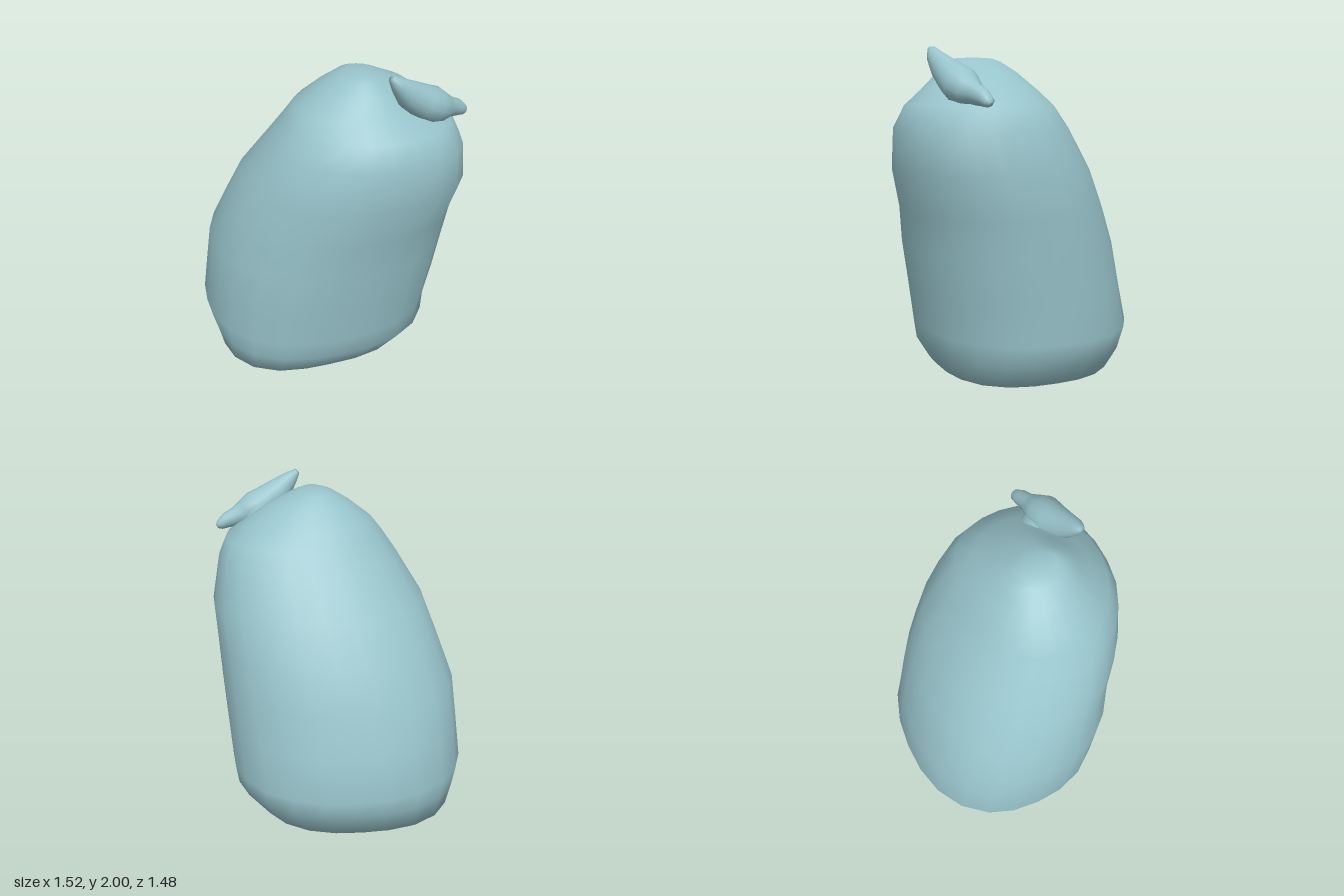
import * as THREE from 'three';

const SIDES = 24;
const material = new THREE.MeshStandardMaterial({ color: 0x98c4cb });

// Skin a stack of rings (equal point counts) and close both ends with a fan.
function loft(rings, name) {
  const n = rings[0].length;
  const pos = [], index = [];
  rings.forEach(r => r.forEach(p => pos.push(p.x, p.y, p.z)));
  for (let r = 0; r < rings.length - 1; r++) {
    for (let j = 0; j < n; j++) {
      const a = r * n + j, b = r * n + (j + 1) % n;
      index.push(a, a + n, b, b, a + n, b + n);
    }
  }
  [0, rings.length - 1].forEach((r, end) => {
    const c = new THREE.Vector3();
    rings[r].forEach(p => c.addScaledVector(p, 1 / n));
    const ci = pos.length / 3;
    pos.push(c.x, c.y + (end ? 0.006 : -0.006), c.z);
    for (let j = 0; j < n; j++) {
      const a = r * n + j, b = r * n + (j + 1) % n;
      index.push(ci, end ? b : a, end ? a : b);
    }
  });
  const g = new THREE.BufferGeometry();
  g.setAttribute('position', new THREE.Float32BufferAttribute(pos, 3));
  g.setIndex(index);
  g.computeVertexNormals();
  const mesh = new THREE.Mesh(g, material);
  mesh.name = name;
  return mesh;
}

// Rounded-square ring between the given x and z limits; each corner
// (+x+z, -x+z, -x-z, +x-z) can be pushed out or cut back.
function bagRing([y, x0, x1, z0, z1, power, ...corners]) {
  const ring = [];
  for (let j = 0; j < SIDES; j++) {
    const a = j / SIDES * Math.PI * 2, c = Math.cos(a), s = Math.sin(a);
    const corner = corners[Math.floor(j * 4 / SIDES)] * Math.sin(2 * a) ** 2;
    const k = (Math.abs(c) ** power + Math.abs(s) ** power) ** (-1 / power) * (1 + corner);
    ring.push(new THREE.Vector3(
      (x0 + x1) / 2 + c * k * (x1 - x0) / 2, y,
      (z0 + z1) / 2 + s * k * (z1 - z0) / 2));
  }
  return ring;
}

// Elliptical rings following a path; each entry is x, y, z, depth radius, height radius.
function tieRings(stations) {
  const points = stations.map(s => new THREE.Vector3(s[0], s[1], s[2]));
  return stations.map((s, i) => {
    const t = points[Math.min(i + 1, points.length - 1)].clone()
      .sub(points[Math.max(i - 1, 0)]).normalize();
    const depth = new THREE.Vector3(0, 0, 1).addScaledVector(t, -t.z).normalize();
    const height = depth.clone().cross(t);
    return Array.from({ length: 14 }, (_, j) => {
      const a = j / 14 * Math.PI * 2;
      return points[i].clone()
        .addScaledVector(depth, Math.cos(a) * s[3])
        .addScaledVector(height, Math.sin(a) * s[4]);
    });
  });
}

export function createModel() {
  const model = new THREE.Group();
  model.name = 'tiedSack';

  // Leaning sack: y, x limits, z limits, squareness, four corner offsets
  const sections = [
    [0.008, -0.42, 0.30, -0.40, 0.22, 2.2, 0.03, 0.04, 0.03, 0],
    [0.05, -0.69, 0.53, -0.64, 0.44, 2.3, 0.04, 0.06, 0.04, 0.01],
    [0.20, -0.73, 0.67, -0.69, 0.54, 2.3, 0.01, 0.02, 0.03, -0.01],
    [0.33, -0.76, 0.685, -0.738, 0.56, 2.3, 0, 0, 0, -0.01],
    [0.58, -0.735, 0.705, -0.675, 0.60, 2.4, 0, -0.03, 0, -0.03],
    [0.84, -0.71, 0.725, -0.61, 0.645, 2.4, 0, -0.05, 0, -0.03],
    [1.06, -0.63, 0.74, -0.52, 0.675, 2.4, 0, -0.07, -0.01, -0.03],
    [1.30, -0.54, 0.76, -0.40, 0.735, 2.4, 0.02, -0.08, -0.01, -0.02],
    [1.54, -0.39, 0.715, -0.235, 0.74, 2.3, 0.02, -0.06, 0, 0.03],
    [1.67, -0.30, 0.66, -0.14, 0.68, 2.1, -0.02, -0.03, 0.03, 0.07],
    [1.76, -0.23, 0.54, -0.07, 0.575, 2, -0.09, 0, 0.05, 0.06],
    [1.86, -0.10, 0.40, 0.03, 0.48, 2, -0.12, 0, 0.05, 0.03],
    [1.92, 0.00, 0.26, 0.10, 0.42, 2, -0.05, 0, 0.03, 0],
    [1.939, 0.06, 0.20, 0.15, 0.37, 2, 0, 0, 0, 0],
  ];
  model.add(loft(sections.map(bagRing), 'sack'));

  // Knot with two twisted ends
  model.add(loft(tieRings([
    [0.205, 1.985, 0.54, 0.025, 0.018],
    [0.245, 1.945, 0.54, 0.045, 0.045],
    [0.32, 1.875, 0.515, 0.07, 0.08],
    [0.41, 1.815, 0.485, 0.095, 0.095],
    [0.48, 1.78, 0.465, 0.11, 0.1],
    [0.55, 1.745, 0.445, 0.08, 0.082],
    [0.60, 1.733, 0.43, 0.052, 0.06],
    [0.66, 1.715, 0.41, 0.045, 0.048],
    [0.705, 1.69, 0.395, 0.032, 0.03],
    [0.72, 1.68, 0.39, 0.012, 0.012],
  ]), 'knot'));

  // Gathered cloth rising to the knot
  const gather = new THREE.Mesh(new THREE.LatheGeometry([
    [0.30, -0.2], [0.2, -0.1], [0.14, -0.04], [0.09, 0.04], [0, 0.06],
  ].map(p => new THREE.Vector2(...p)), 18), material);
  gather.name = 'gather';
  gather.position.set(0.45, 1.74, 0.43);
  gather.quaternion.setFromUnitVectors(
    new THREE.Vector3(0, 1, 0), new THREE.Vector3(0.45, 0.8, 0.4).normalize());
  model.add(gather);

  return model;
}
